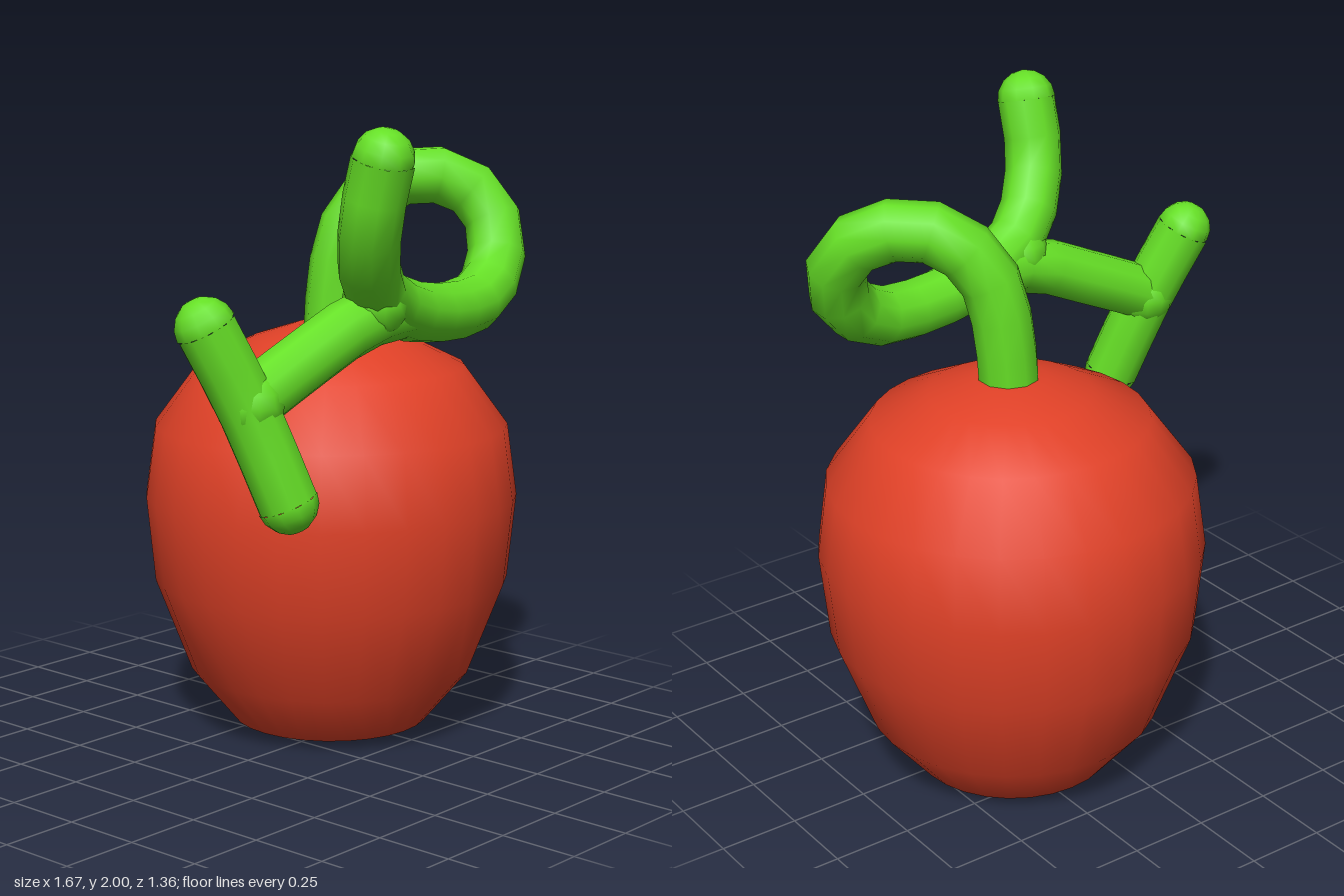
import * as THREE from 'three';

const V = (p) => new THREE.Vector3(...p);

export function createModel() {
  const group = new THREE.Group();
  const red = new THREE.MeshStandardMaterial({ color: 0xe04127 });
  red.name = 'fruitRed';
  const green = new THREE.MeshStandardMaterial({ color: 0x66e026 });
  green.name = 'stemGreen';

  // Round fruit with a shallow dent underneath
  const profile = [
    [0, 0.05], [0.1, 0.03], [0.2, 0.0], [0.315, 0.03], [0.455, 0.2], [0.57, 0.5],
    [0.597, 0.77], [0.565, 1.0], [0.425, 1.19], [0.25, 1.275], [0.11, 1.32], [0, 1.32],
  ].map(([r, y]) => new THREE.Vector2(r, y));
  const fruit = new THREE.Mesh(new THREE.LatheGeometry(profile, 28), red);
  fruit.name = 'fruit';
  fruit.position.set(0.23, 0, -0.08);
  group.add(fruit);

  // A vine piece: a bent tube with rounded ends where they are exposed
  function vine(name, points, radius, capStart, capEnd) {
    const part = new THREE.Group();
    part.name = name;
    const pts = points.map(V);
    const curve = new THREE.CatmullRomCurve3(pts);
    const tube = new THREE.Mesh(
      new THREE.TubeGeometry(curve, Math.max(4, Math.round((pts.length - 1) * 1.5)), radius, 10), green);
    tube.name = name + 'Tube';
    part.add(tube);
    const cap = (t, sign) => {
      const dir = curve.getTangent(t).multiplyScalar(sign);
      const mesh = new THREE.Mesh(
        new THREE.SphereGeometry(radius, 10, 4, 0, Math.PI * 2, 0, Math.PI / 2), green);
      mesh.name = name + 'Tip';
      mesh.position.copy(curve.getPoint(t));
      mesh.quaternion.setFromUnitVectors(new THREE.Vector3(0, 1, 0), dir);
      part.add(mesh);
    };
    if (capStart) cap(0, -1);
    if (capEnd) cap(1, 1);
    group.add(part);
  }

  // Main stem curls up, loops forward and sweeps right into the raised shoot
  vine('stem', [
    [0.23, 1.28, -0.075], [0.245, 1.48, -0.07], [0.28, 1.64, -0.045], [0.36, 1.75, 0.01],
    [0.46, 1.79, 0.09], [0.57, 1.75, 0.19], [0.61, 1.65, 0.265], [0.56, 1.51, 0.32],
    [0.43, 1.42, 0.355], [0.26, 1.4, 0.38], [0, 1.435, 0.41], [-0.19, 1.53, 0.45],
    [-0.305, 1.72, 0.535], [-0.315, 1.91, 0.59],
  ], 0.093, false, true);

  // Side branch and the crossbar at its end
  vine('branch', [
    [-0.02, 1.44, 0.41], [-0.2, 1.425, 0.415], [-0.42, 1.335, 0.395], [-0.63, 1.24, 0.38],
  ], 0.09, false, false);
  vine('crossbar', [
    [-0.75, 1.455, 0.315], [-0.65, 1.22, 0.38], [-0.565, 0.945, 0.455],
  ], 0.09, true, true);

  // Swollen joints where branches meet
  for (const [name, p, r] of [
    ['forkJoint', [-0.16, 1.47, 0.43], 0.1],
    ['crossbarJoint', [-0.64, 1.23, 0.38], 0.1],
  ]) {
    const joint = new THREE.Mesh(new THREE.SphereGeometry(r, 12, 8), green);
    joint.name = name;
    joint.position.copy(V(p));
    group.add(joint);
  }
  return group;
}
